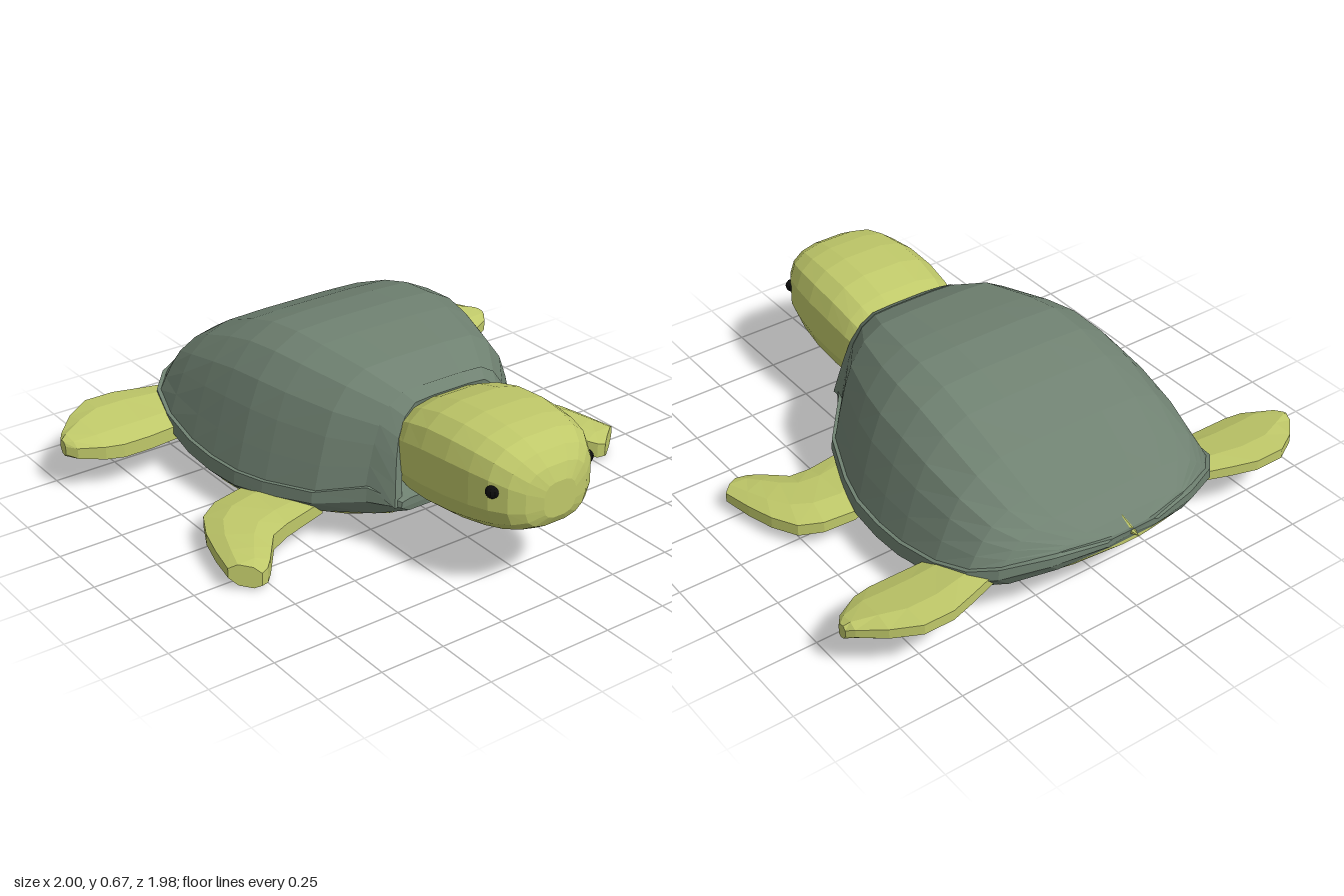
import * as THREE from 'three';

const mat = (color) => new THREE.MeshStandardMaterial({ color, flatShading: true });
const shellMat = mat(0x6f8171);
const skinMat = mat(0xbfc869);
const eyeMat = mat(0x0c0c0c);

// Closed solid skinned over equal-length rings of [x, y, z], capped at both ends
function loft(rings) {
  const n = rings[0].length, pos = [], idx = [];
  rings.forEach((r) => r.forEach((p) => pos.push(...p)));
  for (let i = 0; i < rings.length - 1; i++) {
    for (let j = 0; j < n; j++) {
      const a = i * n + j, b = i * n + (j + 1) % n;
      idx.push(a, b, b + n, a, b + n, a + n);
    }
  }
  [0, rings.length - 1].forEach((i) => {
    const c = pos.length / 3;
    pos.push(...[0, 1, 2].map((k) => rings[i].reduce((s, p) => s + p[k], 0) / n));
    for (let j = 0; j < n; j++) {
      const a = i * n + j, b = i * n + (j + 1) % n;
      idx.push(...(i === 0 ? [c, b, a] : [c, a, b]));
    }
  });
  // Signed volume tells whether the faces point outward
  const v = (i) => new THREE.Vector3().fromArray(pos, i * 3);
  let vol = 0;
  for (let i = 0; i < idx.length; i += 3) vol += v(idx[i]).dot(v(idx[i + 1]).cross(v(idx[i + 2])));
  if (vol < 0) idx.reverse();
  const g = new THREE.BufferGeometry();
  g.setAttribute('position', new THREE.Float32BufferAttribute(pos, 3));
  g.setIndex(idx);
  g.computeVertexNormals();
  return g;
}

function part(name, geometry, material) {
  const m = new THREE.Mesh(geometry, material);
  m.name = name;
  return m;
}

// Half outline from the right edge inward, mirrored to a full one
const mirror = (half) => [...half, ...half.map(([x, y, z]) => [-x, y, z]).reverse()];

// Body stations: z, half width, dome top, dome edge, rim bottom, belly bottom
const BODY = [
  [0.35, 0.33, 0.585, 0.265, 0.15, 0.12],
  [0.2, 0.46, 0.65, 0.22, 0.13, 0.07],
  [0, 0.54, 0.68, 0.2, 0.1, 0.035],
  [-0.13, 0.575, 0.69, 0.195, 0.08, 0.02],
  [-0.28, 0.588, 0.675, 0.195, 0.08, 0.03],
  [-0.42, 0.59, 0.635, 0.205, 0.095, 0.055],
  [-0.6, 0.575, 0.56, 0.235, 0.13, 0.09],
  [-0.74, 0.535, 0.475, 0.27, 0.18, 0.145],
  [-0.82, 0.46, 0.41, 0.295, 0.21, 0.185],
  [-0.9, 0.3, 0.355, 0.32, 0.255, 0.24],
  [-0.95, 0.1, 0.335, 0.325, 0.295, 0.28],
];

// Dome cross-section: width fraction, height fraction
const DOME = [[1, 0], [0.95, 0.23], [0.89, 0.48], [0.82, 0.69], [0.69, 0.88], [0.52, 0.985], [0.25, 1]];
const domeRing = ([z, w, top, edge]) =>
  mirror(DOME.map(([fx, fy]) => [w * fx, edge + (top - edge) * fy, z]));

// Rim below the dome, running forward under the neck
function rimRing([z, w, , edge, bottom]) {
  return mirror([
    [w * 0.9, edge + 0.012, z * 1.01],
    [w + 0.012, edge + 0.004, z * 1.01],
    [w + 0.016, edge - (edge - bottom) * 0.45, z * 1.01],
    [w * 0.92, bottom, z],
  ]);
}

// Shallow curved belly plate
function bellyRing([z, w, , , rim, bottom]) {
  return mirror([
    [w * 0.85, rim + 0.04, z],
    [w * 0.93, rim + 0.003, z],
    [w * 0.7, bottom + (rim - bottom) * 0.25, z],
    [w * 0.35, bottom, z],
  ]);
}

// Raised collar arching around the neck
function collar() {
  const rows = domeRing(BODY[0]).map(([x, y, z]) => {
    const h = (y - 0.265) / 0.32;
    const at = (s, d, dz) => [x * s, y + d, z + dz];
    const reach = 0.035 + 0.075 * (1 - h);
    return [at(1.02, 0.008, -0.01), at(0.9, -0.018 - 0.03 * (1 - h), reach), at(0.8, -0.045, reach - 0.005), at(0.8, -0.06, -0.03)];
  });
  return loft(rows);
}

// Head stations: z, half width, bottom, top
const HEAD = [
  [0.34, 0.235, 0.23, 0.54], [0.44, 0.252, 0.205, 0.59], [0.55, 0.258, 0.205, 0.62],
  [0.68, 0.256, 0.22, 0.63], [0.79, 0.242, 0.24, 0.622], [0.87, 0.222, 0.26, 0.605],
  [0.93, 0.185, 0.28, 0.57], [0.965, 0.135, 0.3, 0.525], [0.985, 0.07, 0.335, 0.47],
];
function headRing([z, w, lo, hi]) {
  const ring = [];
  for (let i = 0; i < 16; i++) {
    const a = ((i + 0.5) / 16) * Math.PI * 2;
    const p = (t) => Math.sign(t) * Math.abs(t) ** 0.68;
    ring.push([w * p(Math.cos(a)), (lo + hi) / 2 + ((hi - lo) / 2) * p(Math.sin(a)), z]);
  }
  return ring;
}

// Flipper stations: front edge x, z, y; back edge x, z, y; half thickness
function flipper(stations) {
  return loft(stations.map(([ax, az, ay, bx, bz, by, t]) => {
    const at = (f, dy) => [ax + (bx - ax) * f, ay + (by - ay) * f + dy, az + (bz - az) * f];
    return [at(0, t * 0.6), at(0.25, t), at(0.7, t), at(1, t * 0.45),
      at(1, -t * 0.45), at(0.7, -t), at(0.25, -t), at(0, -t * 0.6)];
  }));
}
const FRONT_FLIPPER = [
  [0.42, 0.19, 0.14, 0.42, -0.07, 0.13, 0.04],
  [0.58, 0.2, 0.105, 0.58, -0.11, 0.115, 0.045],
  [0.65, 0.22, 0.09, 0.7, -0.09, 0.105, 0.05],
  [0.69, 0.27, 0.08, 0.78, -0.04, 0.095, 0.052],
  [0.73, 0.32, 0.07, 0.83, 0.06, 0.09, 0.052],
  [0.76, 0.35, 0.062, 0.86, 0.17, 0.085, 0.05],
  [0.79, 0.36, 0.06, 0.885, 0.29, 0.085, 0.042],
];
const REAR_FLIPPER = [
  [0.42, -0.57, 0.19, 0.42, -0.78, 0.24, 0.04],
  [0.58, -0.55, 0.18, 0.58, -0.83, 0.235, 0.045],
  [0.7, -0.545, 0.175, 0.68, -0.86, 0.235, 0.045],
  [0.81, -0.545, 0.175, 0.8, -0.86, 0.235, 0.045],
  [0.88, -0.56, 0.18, 0.9, -0.8, 0.225, 0.043],
  [0.97, -0.61, 0.185, 0.98, -0.72, 0.21, 0.035],
  [1, -0.65, 0.19, 1, -0.69, 0.2, 0.028],
];

export function createModel() {
  const turtle = new THREE.Group();
  turtle.name = 'turtle';

  turtle.add(
    part('shellDome', loft(BODY.map(domeRing)), shellMat),
    part('shellRim', loft([[0.465, 0.26, 0, 0.235, 0.195], ...BODY].map(rimRing)), shellMat),
    part('shellCollar', collar(), shellMat),
    part('belly', loft(BODY.map(bellyRing)), skinMat),
    part('head', loft(HEAD.map(headRing)), skinMat),
  );

  // Small pointed tail
  const tail = new THREE.ConeGeometry(0.035, 0.1, 6);
  tail.rotateX(-Math.PI / 2);
  tail.translate(0, 0.325, -0.94);
  turtle.add(part('tail', tail, skinMat));

  for (const side of [1, -1]) {
    const tag = side > 0 ? 'left' : 'right';
    const flip = (stations) => stations.map(([ax, az, ay, bx, ...rest]) => [ax * side, az, ay, bx * side, ...rest]);
    turtle.add(
      part(tag + 'FrontFlipper', flipper(flip(FRONT_FLIPPER)), skinMat),
      part(tag + 'RearFlipper', flipper(flip(REAR_FLIPPER)), skinMat),
    );
    const eye = part(tag + 'Eye', new THREE.SphereGeometry(0.025, 10, 8), eyeMat);
    eye.position.set(0.208 * side, 0.45, 0.88);
    turtle.add(eye);
  }
  return turtle;
}
